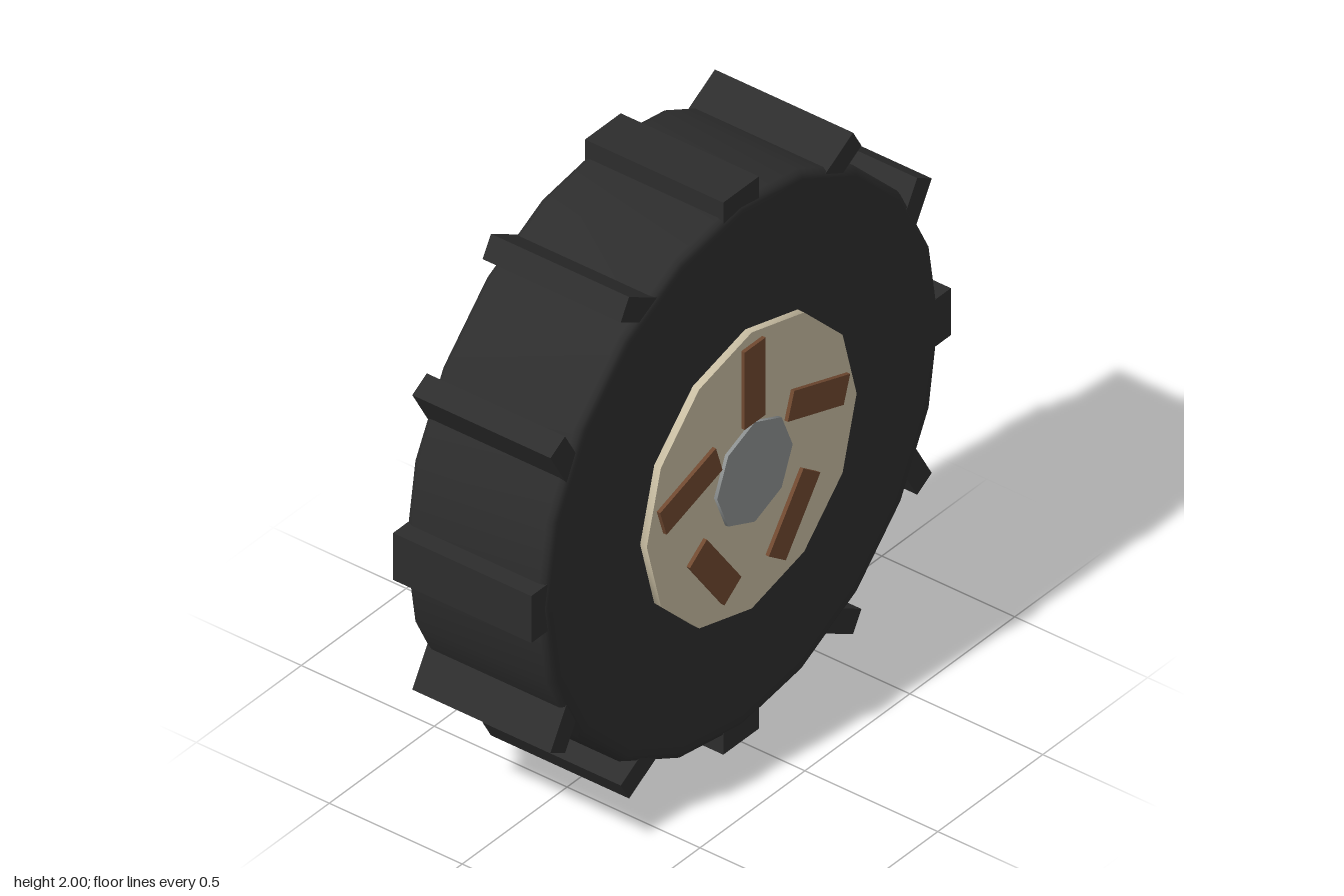
import * as THREE from 'three';
import { toCreasedNormals } from 'three/addons/utils/BufferGeometryUtils.js';

const paint = (name, color) => {
  const m = new THREE.MeshStandardMaterial({ color });
  m.name = name;
  return m;
};

function part(parent, name, geometry, material, x = 0, y = 0, z = 0) {
  const mesh = new THREE.Mesh(geometry, material);
  mesh.name = name;
  mesh.position.set(x, y, z);
  parent.add(mesh);
  return mesh;
}

// Short cylinder facing along z
const disc = (radius, depth, sides) =>
  toCreasedNormals(new THREE.CylinderGeometry(radius, radius, depth, sides).rotateX(Math.PI / 2), 0.9);

export function createModel() {
  const rubber = paint('black rubber', 0x2d2d2d);
  const cream = paint('cream hub', 0xc8bda2);
  const brown = paint('brown spokes', 0x704930);
  const grey = paint('grey cap', 0x8e9292);

  const model = new THREE.Group();
  model.name = 'wheel';
  const wheel = new THREE.Group();
  wheel.name = 'wheelAssembly';
  wheel.position.y = 1;
  model.add(wheel);

  // Tyre with softly bevelled shoulders
  const half = [[0, 0.264], [0.905, 0.264], [0.925, 0.264], [0.943, 0.257], [0.95, 0.24]];
  const profile = [
    ...half.map(([r, h]) => new THREE.Vector2(r, -h)),
    ...half.slice().reverse().map(([r, h]) => new THREE.Vector2(r, h)),
  ];
  const tyre = new THREE.LatheGeometry(profile, 20).rotateX(Math.PI / 2);
  part(wheel, 'tyre', toCreasedNormals(tyre, 0.9), rubber);

  // Twelve tread lugs, tilted against the direction of travel
  const lug = new THREE.BoxGeometry(0.17, 0.08, 0.52);
  for (let i = 0; i < 12; i++) {
    const a = (i / 12) * Math.PI * 2;
    const mesh = part(wheel, 'treadLug', lug, rubber, Math.cos(a) * 0.96, Math.sin(a) * 0.96, 0);
    mesh.rotation.z = Math.PI / 2 - a;
  }

  // Hub disc, spokes and cap on both sides
  const hub = disc(0.5, 0.025, 12);
  const cap = disc(0.18, 0.02, 8);
  const spoke = new THREE.BoxGeometry(0.1, 0.28, 0.02);
  for (const side of [1, -1]) {
    const face = new THREE.Group();
    face.name = side > 0 ? 'frontHub' : 'backHub';
    wheel.add(face);
    part(face, 'hubDisc', hub, cream, 0, 0, side * 0.2875);
    part(face, 'hubCap', cap, grey, 0, 0, side * 0.302);
    for (let i = 0; i < 5; i++) {
      const a = Math.PI / 2 + (i / 5) * Math.PI * 2;
      const mesh = part(face, 'spoke', spoke, brown, Math.cos(a) * 0.32, Math.sin(a) * 0.32, side * 0.303);
      mesh.rotation.z = Math.PI / 2 - a;
    }
  }
  return model;
}
